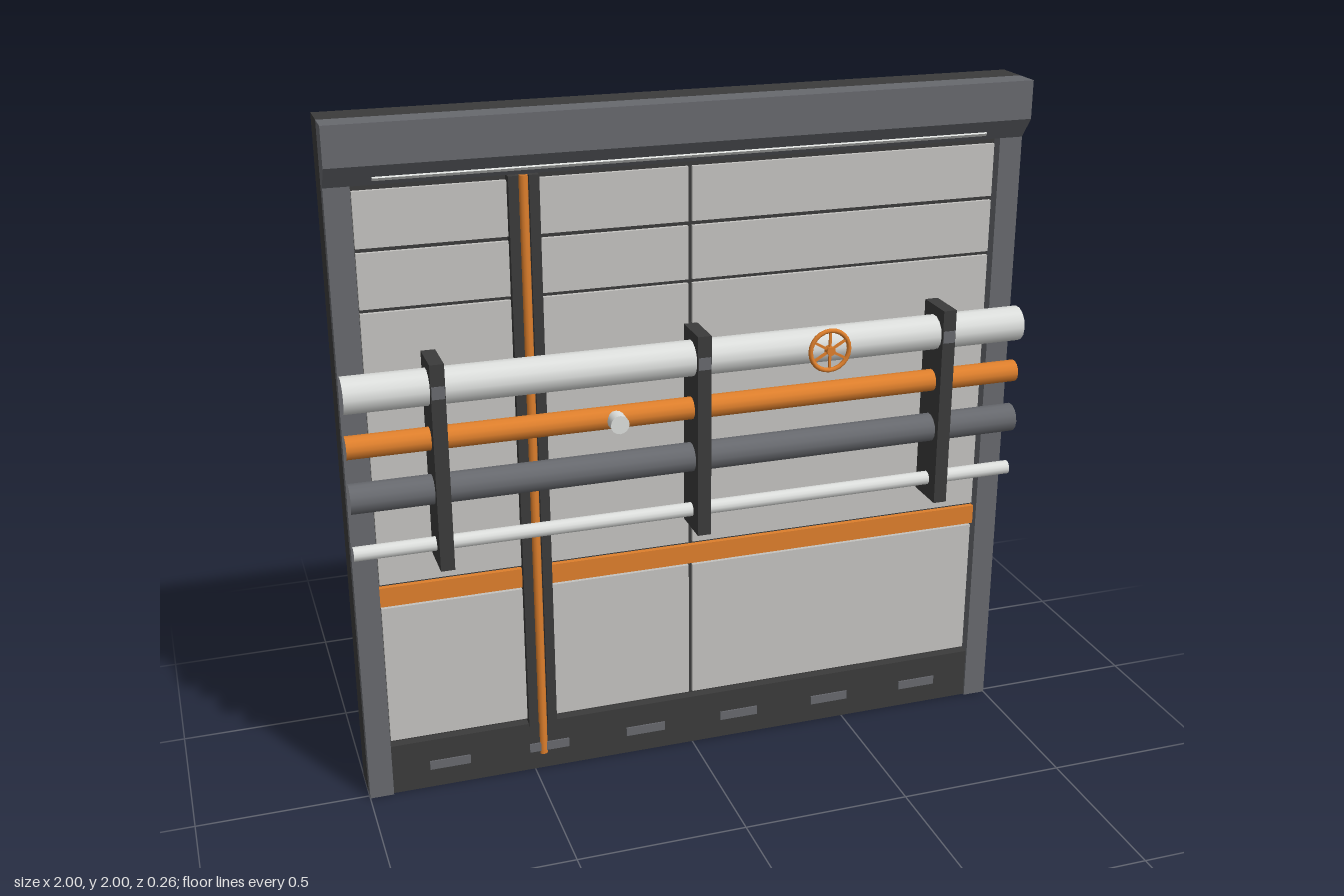
import * as THREE from 'three';

const mat = (name, color) => {
  const m = new THREE.MeshStandardMaterial({ color });
  m.name = name;
  return m;
};

export function createModel() {
  const light = mat('panelGrey', 0xc4c3c0);
  const white = mat('paleMetal', 0xdcdedc);
  const steel = mat('steelGrey', 0x67696e);
  const dark = mat('charcoal', 0x3b3b3b);
  const orange = mat('orange', 0xde7f2c);

  const root = new THREE.Group();
  root.name = 'wallPanel';
  const add = (name, geo, material, parent = root) => {
    const m = new THREE.Mesh(geo, material);
    m.name = name;
    parent.add(m);
    return m;
  };
  // Box given by its limits on each axis
  const box = (name, material, x0, x1, y0, y1, z0, z1) => {
    const m = add(name, new THREE.BoxGeometry(x1 - x0, y1 - y0, z1 - z0), material);
    m.position.set((x0 + x1) / 2, (y0 + y1) / 2, (z0 + z1) / 2);
    return m;
  };

  // Core slab and back sheet
  box('core', dark, -1, 1, 0, 2, -0.12, -0.02);
  box('backSheet', light, -0.995, 0.995, 0.005, 1.995, -0.13, -0.12);

  // Side posts
  for (const s of [-1, 1]) {
    box('sidePost', steel, Math.min(s, s * 0.93), Math.max(s, s * 0.93), 0, 1.84, -0.02, 0.015);
  }

  // Header with a sloping underside
  const profile = new THREE.Shape([
    [-0.02, 1.83], [0.015, 1.83], [0.06, 1.89], [0.06, 2], [-0.02, 2],
  ].map(([z, y]) => new THREE.Vector2(z, y)));
  const header = new THREE.ExtrudeGeometry(profile, { depth: 2, bevelEnabled: false });
  header.rotateY(-Math.PI / 2).translate(1, 0, 0);
  add('header', header, steel);

  // Light strip on the header slope
  const strip = add('lightStrip', new THREE.BoxGeometry(1.75, 0.01, 0.008), white);
  strip.position.set(0, 1.85, 0.032);
  strip.rotation.x = Math.atan2(0.045, 0.06);

  // Wall panels, two columns, with open seams between
  const rows = [[0.168, 0.6], [0.676, 1.477], [1.489, 1.643], [1.656, 1.81]];
  for (const [y0, y1] of rows) {
    box('panelRight', light, -0.925, -0.006, y0, y1, -0.02, -0.008);
    box('panelLeft', light, 0.006, 0.925, y0, y1, -0.02, -0.008);
  }
  box('orangeBand', orange, -0.93, 0.93, 0.608, 0.667, -0.02, -0.004);

  // Plinth with vent plates
  box('plinth', dark, -0.93, 0.93, 0, 0.158, -0.02, 0.008);
  for (let i = 0; i < 6; i++) {
    const x = -0.757 + i * 0.3028;
    box('vent', steel, x - 0.061, x + 0.061, 0.06, 0.088, 0.008, 0.012);
  }

  // Vertical cable channel
  box('channelBase', dark, -0.49, -0.455, 0.06, 1.825, -0.02, 0.003);
  box('channelRail', dark, -0.515, -0.487, 0.15, 1.825, -0.02, 0.014);
  box('channelRail', dark, -0.458, -0.43, 0.15, 1.825, -0.02, 0.014);
  const cable = add('cable', new THREE.CylinderGeometry(0.013, 0.013, 1.775, 10), orange);
  cable.position.set(-0.472, 0.9375, 0.003);

  // Horizontal pipes with open ends
  const pipes = [
    [1.28, 0.052, white], [1.13, 0.033, orange], [0.98, 0.043, steel], [0.815, 0.021, white],
  ];
  for (const [y, r, m] of pipes) {
    const geo = new THREE.CylinderGeometry(r, r, 2, 14, 1, true).rotateZ(Math.PI / 2);
    add('pipe', geo, m).position.set(0, y, 0.06);
  }

  // Pipe brackets
  for (const x of [-0.75, 0, 0.75]) {
    box('bracket', dark, x - 0.02, x + 0.02, 0.755, 1.36, -0.02, 0.12);
    box('bracketPlate', steel, x - 0.018, x + 0.018, 1.262, 1.298, 0.12, 0.122);
  }

  // Gauge on the orange pipe
  const gauge = add('gauge', new THREE.CylinderGeometry(0.027, 0.027, 0.045, 16).rotateX(Math.PI / 2), white);
  gauge.position.set(-0.25, 1.13, 0.105);

  // Valve wheel with six spokes
  const wheel = new THREE.Group();
  wheel.name = 'valveWheel';
  wheel.position.set(0.375, 1.28, 0.122);
  root.add(wheel);
  add('wheelRim', new THREE.TorusGeometry(0.059, 0.007, 8, 24), orange, wheel);
  add('wheelHub', new THREE.CylinderGeometry(0.013, 0.013, 0.024, 12).rotateX(Math.PI / 2), orange, wheel);
  for (let i = 0; i < 3; i++) {
    const spoke = add('wheelSpoke', new THREE.BoxGeometry(0.007, 0.118, 0.006), orange, wheel);
    spoke.rotation.z = i * Math.PI / 3;
  }

  return root;
}
